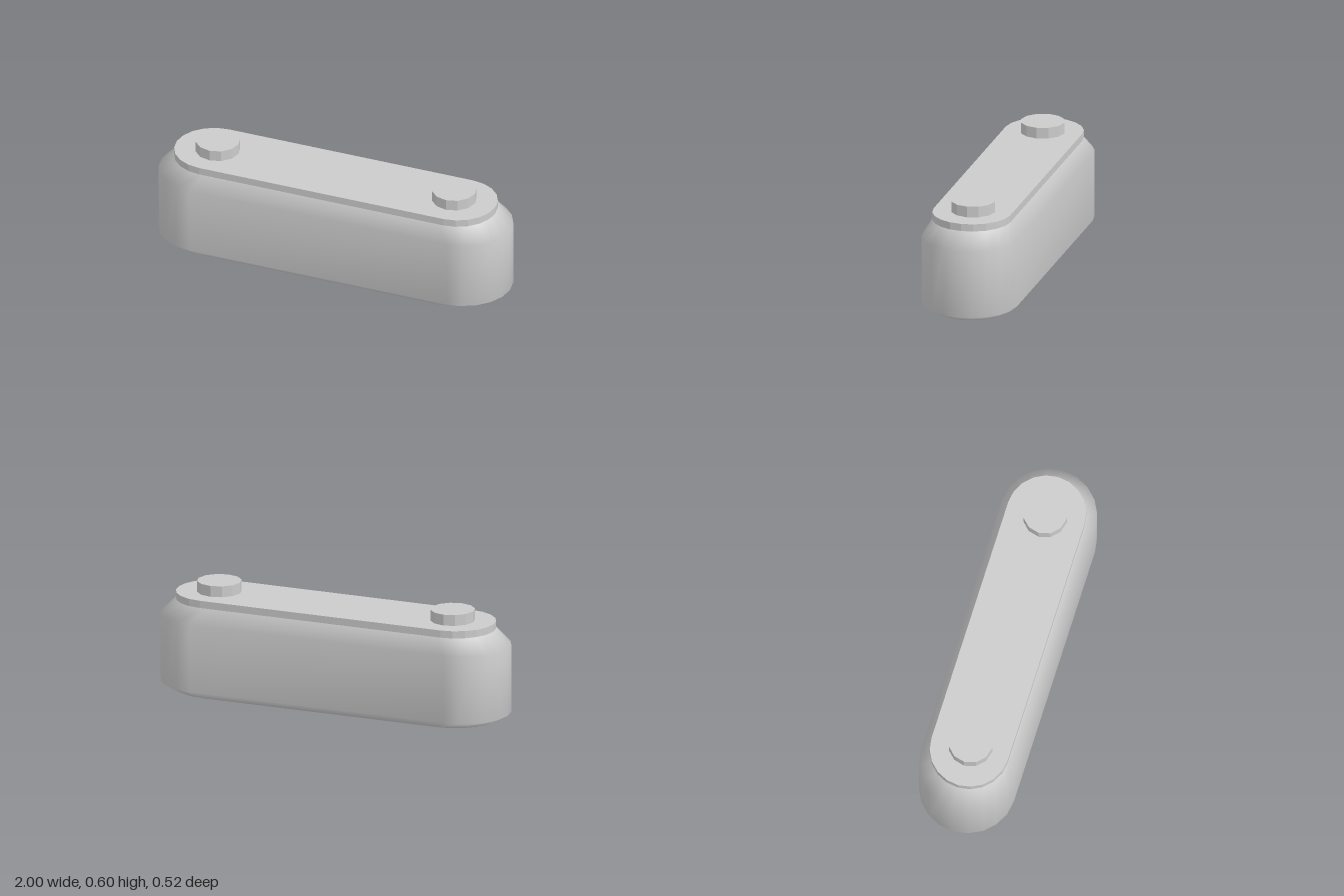
import * as THREE from 'three';

const ARC = 10; // segments in each rounded end

// Stadium outline: straight half-length plus round ends, stretched by sx and sy
function stadium(half, radius, sx = 1, sy = 1) {
  const points = [];
  for (const side of [0, 1]) {
    for (let i = 0; i <= ARC; i++) {
      const a = -Math.PI / 2 + side * Math.PI + (i / ARC) * Math.PI;
      points.push(new THREE.Vector2(
        ((side ? -half : half) + Math.cos(a) * radius) * sx,
        Math.sin(a) * radius * sy
      ));
    }
  }
  return points;
}

// Smooth wall joining stadium rings given as [y, scaleX, scaleZ]
function wall(half, radius, rings) {
  const position = [], index = [];
  const n = 2 * (ARC + 1);
  for (const [y, sx, sz] of rings) {
    for (const p of stadium(half, radius, sx, sz)) position.push(p.x, y, p.y);
  }
  for (let r = 0; r < rings.length - 1; r++) {
    for (let i = 0; i < n; i++) {
      const a = r * n + i, b = r * n + (i + 1) % n;
      index.push(a, a + n, b, b, a + n, b + n);
    }
  }
  const geometry = new THREE.BufferGeometry();
  geometry.setAttribute('position', new THREE.Float32BufferAttribute(position, 3));
  geometry.setIndex(index);
  geometry.computeVertexNormals();
  return geometry;
}

export function createModel() {
  const model = new THREE.Group();
  const smooth = new THREE.MeshStandardMaterial({ color: 0xcccccc });
  const flat = new THREE.MeshStandardMaterial({ color: 0xcccccc, flatShading: true });

  function add(parent, name, geometry, material, x = 0, y = 0) {
    const mesh = new THREE.Mesh(geometry, material);
    mesh.name = name;
    mesh.position.set(x, y, 0);
    parent.add(mesh);
    return mesh;
  }

  // Body: bevelled wall closed by flat ends
  const half = 0.74, radius = 0.26, sx = 0.915, sz = 0.82;
  const body = new THREE.Group();
  body.name = 'body';
  model.add(body);
  add(body, 'bodyWall', wall(half, radius, [
    [0, sx, sz], [0.042, 1, 1], [0.415, 1, 1], [0.5, sx, sz],
  ]), smooth);
  const end = new THREE.ShapeGeometry(new THREE.Shape(stadium(half, radius, sx, sz)));
  add(body, 'bodyBottom', end.clone().rotateX(Math.PI / 2), flat);
  add(body, 'bodyTop', end.clone().rotateX(-Math.PI / 2), flat, 0, 0.5);

  // Lid plate
  const lid = new THREE.ExtrudeGeometry(new THREE.Shape(stadium(0.702, 0.213)), {
    depth: 0.04, bevelEnabled: false,
  });
  add(model, 'lid', lid.rotateX(-Math.PI / 2), flat, 0, 0.5);

  // Round studs near both ends
  for (const [name, side] of [['leftStud', 1], ['rightStud', -1]]) {
    add(model, name, new THREE.CylinderGeometry(0.12, 0.12, 0.06, 12), flat, side * 0.68, 0.57);
  }
  return model;
}
